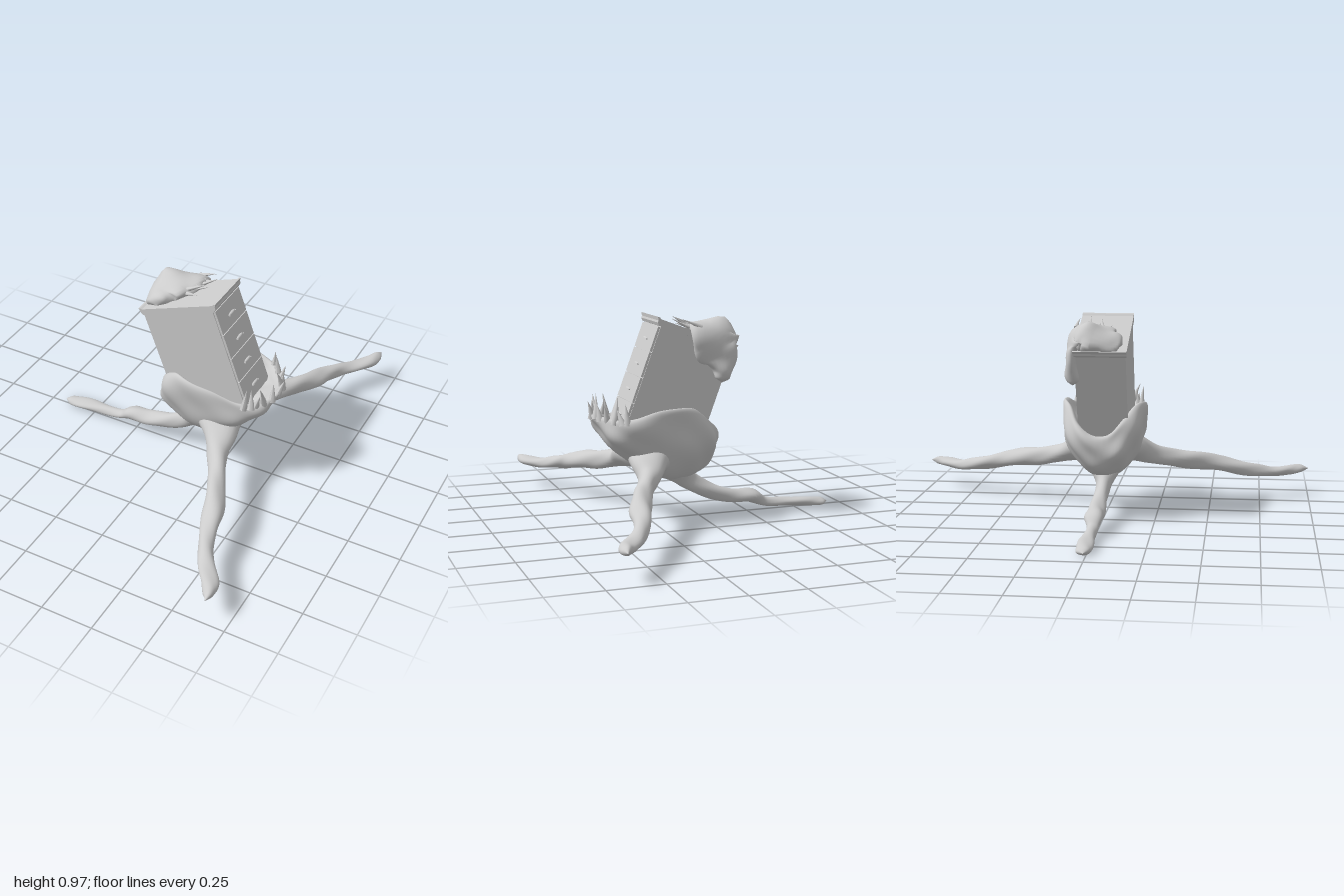
import * as THREE from 'three';

const V = (x, y, z) => new THREE.Vector3(x, y, z);
const grey = new THREE.MeshStandardMaterial({ color: 0xcccccc, side: THREE.DoubleSide });

function add(parent, name, geometry, x = 0, y = 0, z = 0) {
  const mesh = new THREE.Mesh(geometry, grey);
  mesh.name = name;
  mesh.position.set(x, y, z);
  parent.add(mesh);
  return mesh;
}

// Smooth skin over rows of points; columns wrap around
function skin(rows, cols, at) {
  const pos = [], index = [];
  for (let i = 0; i <= rows; i++) for (let j = 0; j < cols; j++) {
    pos.push(...at(i / rows, (j / cols) * Math.PI * 2).toArray());
    if (i === rows) continue;
    const a = i * cols + j, b = i * cols + (j + 1) % cols;
    index.push(a, a + cols, b, b, a + cols, b + cols);
  }
  const g = new THREE.BufferGeometry();
  g.setAttribute('position', new THREE.Float32BufferAttribute(pos, 3));
  g.setIndex(index);
  g.computeVertexNormals();
  return g;
}

// Fleshy limb: stations of [x, y, z, side radius, other radius]
function limb(stations, ref, lump, rows = 56) {
  const path = new THREE.CatmullRomCurve3(stations.map(s => V(s[0], s[1], s[2])));
  const radii = new THREE.CatmullRomCurve3(stations.map(s => V(s[3], s[4], 0)));
  return skin(rows, 24, (t, a) => {
    const p = path.getPoint(t), r = radii.getPoint(t), T = path.getTangent(t);
    const side = ref.clone().cross(T).normalize(), up = side.clone().cross(T);
    const k = 1 + lump * Math.sin(a * 2 + t * 17) + lump * Math.sin(a * 3 - t * 29);
    return p.addScaledVector(side, Math.max(r.x, 0.001) * k * Math.cos(a))
      .addScaledVector(up, Math.max(r.y, 0.001) * k * Math.sin(a));
  });
}

// Curved pointed tooth from a base point along a direction
function tooth(parent, name, base, dir, length, radius) {
  const g = new THREE.ConeGeometry(radius, length, 8, 3).translate(0, length / 2 - 0.015, 0);
  const p = g.attributes.position;
  for (let i = 0; i < p.count; i++) p.setZ(i, p.getZ(i) + 1.2 * p.getY(i) ** 2);
  g.computeVertexNormals();
  const m = add(parent, name, g, base.x, base.y, base.z);
  m.quaternion.setFromUnitVectors(V(0, 1, 0), dir.normalize());
}

// Rim height every 30 degrees, starting at +x and turning to +z
const rimCurve = new THREE.CatmullRomCurve3(
  [0.525, 0.505, 0.5, 0.545, 0.56, 0.5, 0.415, 0.47, 0.55, 0.56, 0.52, 0.515].map((y, i) =>
    V(Math.cos(i * Math.PI / 6), y, Math.sin(i * Math.PI / 6))), true);
const cupProfile = new THREE.CatmullRomCurve3([
  [0, 0], [0.28, 0.02], [0.5, 0.1], [0.74, 0.28], [0.93, 0.52], [1, 0.76], [0.99, 0.95],
  [0.94, 1], [0.87, 0.97], [0.79, 0.86], [0.6, 0.74], [0, 0.6]].map(([f, h]) => V(f, h, 0)));
const signedPow = (v, e) => Math.sign(v) * Math.abs(v) ** e;

function cupPoint(f, h, a) {
  const rim = rimCurve.getPoint(((a / (2 * Math.PI)) % 1 + 1) % 1).y;
  const c = Math.cos(a), s = Math.sin(a);
  const k = f * (1 + 0.03 * Math.sin(4 * a + 7 * h) + 0.02 * Math.sin(7 * a - 11 * h));
  const slope = 0.09 * Math.max(c, 0) * Math.min(f, 1) * (1 - h);
  return V(0.16 + 0.06 * h + k * signedPow(c, 0.85) * (c > 0 ? 0.305 : 0.28),
    0.195 + (rim - 0.195) * h + slope,
    k * signedPow(s, 0.8) * (s > 0 ? 0.195 : 0.215));
}

export function createModel() {
  const model = new THREE.Group();

  // Fleshy cup that swallows the cabinet
  add(model, 'fleshCup', skin(56, 72, (t, a) => {
    const p = cupProfile.getPoint(t);
    return cupPoint(Math.max(p.x, 0), p.y, a);
  }));

  // Teeth around the front of the rim
  const teeth = new THREE.Group();
  teeth.name = 'rimTeeth';
  model.add(teeth);
  for (let i = 0; i < 12; i++) {
    const a = -0.95 + (i / 11) * 1.9 + 0.05 * Math.sin(i * 5);
    const dir = V(0.1 + 0.25 * Math.sin(i * 2.3), 1, 0.3 * Math.sin(i * 1.7));
    tooth(teeth, 'rimTooth', cupPoint(0.95, 0.97, a), dir, 0.1 + 0.025 * Math.sin(i * 4.1), 0.019);
  }

  // Two mirrored side legs and one rear leg
  const sideLeg = [
    [0.25, 0.34, 0.06, 0.12, 0.09], [0.295, 0.3, 0.15, 0.08, 0.068], [0.325, 0.262, 0.24, 0.052, 0.045],
    [0.375, 0.236, 0.34, 0.042, 0.042], [0.42, 0.22, 0.44, 0.042, 0.045], [0.465, 0.197, 0.55, 0.046, 0.041],
    [0.49, 0.172, 0.65, 0.038, 0.035], [0.525, 0.153, 0.74, 0.036, 0.029], [0.575, 0.138, 0.82, 0.038, 0.024],
    [0.63, 0.138, 0.9, 0.036, 0.025], [0.652, 0.142, 0.96, 0.022, 0.02], [0.658, 0.143, 1, 0, 0]];
  for (const m of [1, -1])
    add(model, m > 0 ? 'frontLeg' : 'backLeg',
      limb(sideLeg.map(([x, y, z, a, b]) => [x, y, z * m, a, b]), V(0, 1, 0), 0.06));
  add(model, 'rearLeg', limb([
    [0.17, 0.29, 0, 0.11, 0.1], [0.1, 0.225, 0, 0.07, 0.06], [0.04, 0.17, 0, 0.038, 0.042],
    [-0.06, 0.118, -0.005, 0.035, 0.036], [-0.17, 0.086, -0.01, 0.04, 0.034], [-0.27, 0.079, -0.01, 0.042, 0.035],
    [-0.34, 0.045, -0.01, 0.028, 0.021], [-0.45, 0.034, -0.012, 0.03, 0.021], [-0.56, 0.028, -0.014, 0.036, 0.022],
    [-0.64, 0.021, -0.012, 0.032, 0.019], [-0.675, 0.02, -0.01, 0, 0]], V(0, 1, 0), 0.06));

  // Tilted cabinet, origin at the middle of its top
  const cabinet = new THREE.Group();
  cabinet.name = 'cabinet';
  cabinet.position.set(0.045, 0.9, 0);
  cabinet.rotation.z = 0.357;
  model.add(cabinet);
  add(cabinet, 'cabinetBody', new THREE.BoxGeometry(0.372, 0.54, 0.24), -0.006, -0.29, 0);

  // Moulded top slab with raised ends
  const slab = new THREE.Shape();
  [[-0.192, -0.034], [0.192, -0.034], [0.202, -0.022], [0.202, -0.012], [0.21, 0.003], [0.2, 0.003],
    [0.19, -0.003], [-0.19, -0.003], [-0.2, 0.003], [-0.21, 0.003], [-0.202, -0.012], [-0.202, -0.022]]
    .forEach(([x, y], i) => (i ? slab.lineTo(x, y) : slab.moveTo(x, y)));
  add(cabinet, 'cabinetTop',
    new THREE.ExtrudeGeometry(slab, { depth: 0.25, bevelEnabled: false }), 0, 0, -0.125);

  // Drawers with slim hooded pulls
  for (let i = 0; i < 4; i++) {
    const y = -0.098 - i * 0.123;
    add(cabinet, 'drawer', new THREE.BoxGeometry(0.018, 0.119, 0.232), 0.182, y, 0);
    const pull = add(cabinet, 'drawerPull',
      new THREE.SphereGeometry(1, 16, 6, 0, Math.PI * 2, 0, Math.PI / 2), 0.19, y - 0.009, 0);
    pull.scale.set(0.01, 0.009, 0.032);
    add(cabinet, 'pullEdge', new THREE.BoxGeometry(0.01, 0.004, 0.06), 0.194, y - 0.011, 0);
  }

  // Flesh draped over the top and down the back, swelling into a soft lump
  const drape = limb([
    [-0.125, 0.0, 0.1, 0, 0], [-0.125, 0.008, 0.085, 0.03, 0.055], [-0.125, 0.014, 0.045, 0.038, 0.085],
    [-0.105, 0.016, -0.01, 0.044, 0.11], [-0.088, 0.017, -0.065, 0.048, 0.128],
    [-0.085, 0.0, -0.11, 0.044, 0.132], [-0.11, -0.04, -0.128, 0.036, 0.11],
    [-0.148, -0.085, -0.132, 0.034, 0.075], [-0.173, -0.13, -0.134, 0.034, 0.052],
    [-0.183, -0.165, -0.134, 0.026, 0.036], [-0.188, -0.185, -0.134, 0, 0]], V(1, 0, 0), 0.07);
  const dp = drape.attributes.position;
  for (let i = 0; i < dp.count; i++) {
    const d = ((dp.getX(i) + 0.125) / 0.06) ** 2 + ((dp.getZ(i) + 0.05) / 0.07) ** 2;
    if (dp.getY(i) > 0.01) dp.setY(i, dp.getY(i) + 0.042 * Math.exp(-d));
  }
  drape.computeVertexNormals();
  add(cabinet, 'topFlesh', drape);

  // Claws gripping the top
  for (let i = 0; i < 8; i++) {
    const s = Math.sin(i * 2.6);
    tooth(cabinet, 'topClaw', V(0.01 + 0.015 * s, 0.016 + 0.01 * Math.cos(i * 3), -0.13 + i * 0.021),
      V(1, 0.04 + 0.16 * s, 0.3 * Math.sin(i * 1.9)), 0.1 + 0.025 * s, 0.012);
  }
  return model;
}
